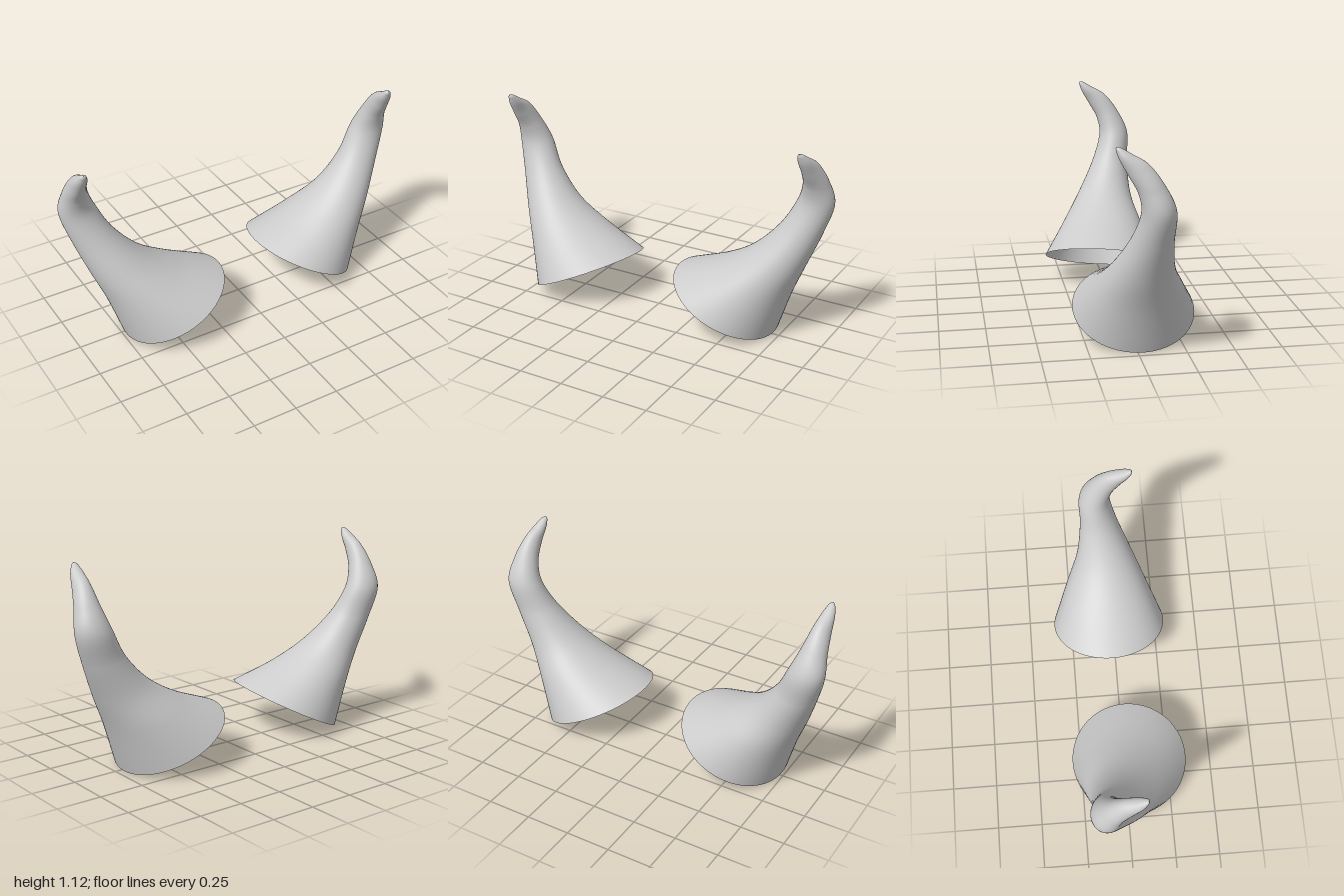
import * as THREE from 'three';
import { ParametricGeometry } from 'three/addons/geometries/ParametricGeometry.js';

// Cross-sections from base to tip: centre (x, y, z), outward half-axis (x, y), forward half-axis (y, z)
const SECTIONS = [
  [0.42, 0.143, -0.025, 0.29, -0.143, 0, 0.325],
  [0.585, 0.312, -0.025, 0.205, -0.073, 0, 0.235],
  [0.717, 0.46, -0.025, 0.148, -0.04, 0, 0.16],
  [0.83, 0.635, -0.047, 0.115, -0.015, 0, 0.107],
  [0.898, 0.795, -0.064, 0.099, -0.005, -0.01, 0.086],
  [0.908, 0.915, -0.025, 0.069, 0, -0.024, 0.062],
  [0.9, 1.01, 0.037, 0.047, 0, -0.028, 0.048],
  [0.889, 1.07, 0.095, 0.034, 0, -0.015, 0.03],
  [0.882, 1.104, 0.126, 0.02, 0, -0.009, 0.014],
  [0.88, 1.115, 0.136, 0.011, 0, -0.005, 0.007],
  [0.88, 1.12, 0.14, 0.001, 0, 0, 0.001],
];
const BASE = new THREE.Vector3(0.42, 0, -0.025);

const spline = (pick) =>
  new THREE.CatmullRomCurve3(SECTIONS.map((s) => new THREE.Vector3(...pick(s))), false, 'catmullrom', 0.5);

// Open-based horn skinned over the smoothly blended sections, with its base centre at the origin
function hornGeometry() {
  const centre = spline((s) => [s[0], s[1], s[2]]);
  const outward = spline((s) => [s[3], s[4], 0]);
  const forward = spline((s) => [0, s[5], s[6]]);
  const c = new THREE.Vector3(), o = new THREE.Vector3(), f = new THREE.Vector3();
  return new ParametricGeometry((u, v, target) => {
    const a = -u * Math.PI * 2;
    centre.getPoint(v, c);
    outward.getPoint(v, o);
    forward.getPoint(v, f);
    target.copy(c).sub(BASE).addScaledVector(o, Math.cos(a)).addScaledVector(f, Math.sin(a));
  }, 64, 80);
}

export function createModel() {
  const group = new THREE.Group();
  group.name = 'horns';
  const material = new THREE.MeshStandardMaterial({ color: 0xcccccc, side: THREE.DoubleSide });
  const geometry = hornGeometry();

  const leftHorn = new THREE.Mesh(geometry, material);
  leftHorn.name = 'leftHorn';
  leftHorn.position.copy(BASE);

  // Mirrored horn, turned slightly about its base
  const rightHorn = new THREE.Mesh(geometry, material);
  rightHorn.name = 'rightHorn';
  rightHorn.scale.x = -1;
  rightHorn.rotation.y = -0.24;
  rightHorn.position.set(-0.4425, 0, 0.025);

  group.add(leftHorn, rightHorn);
  return group;
}
